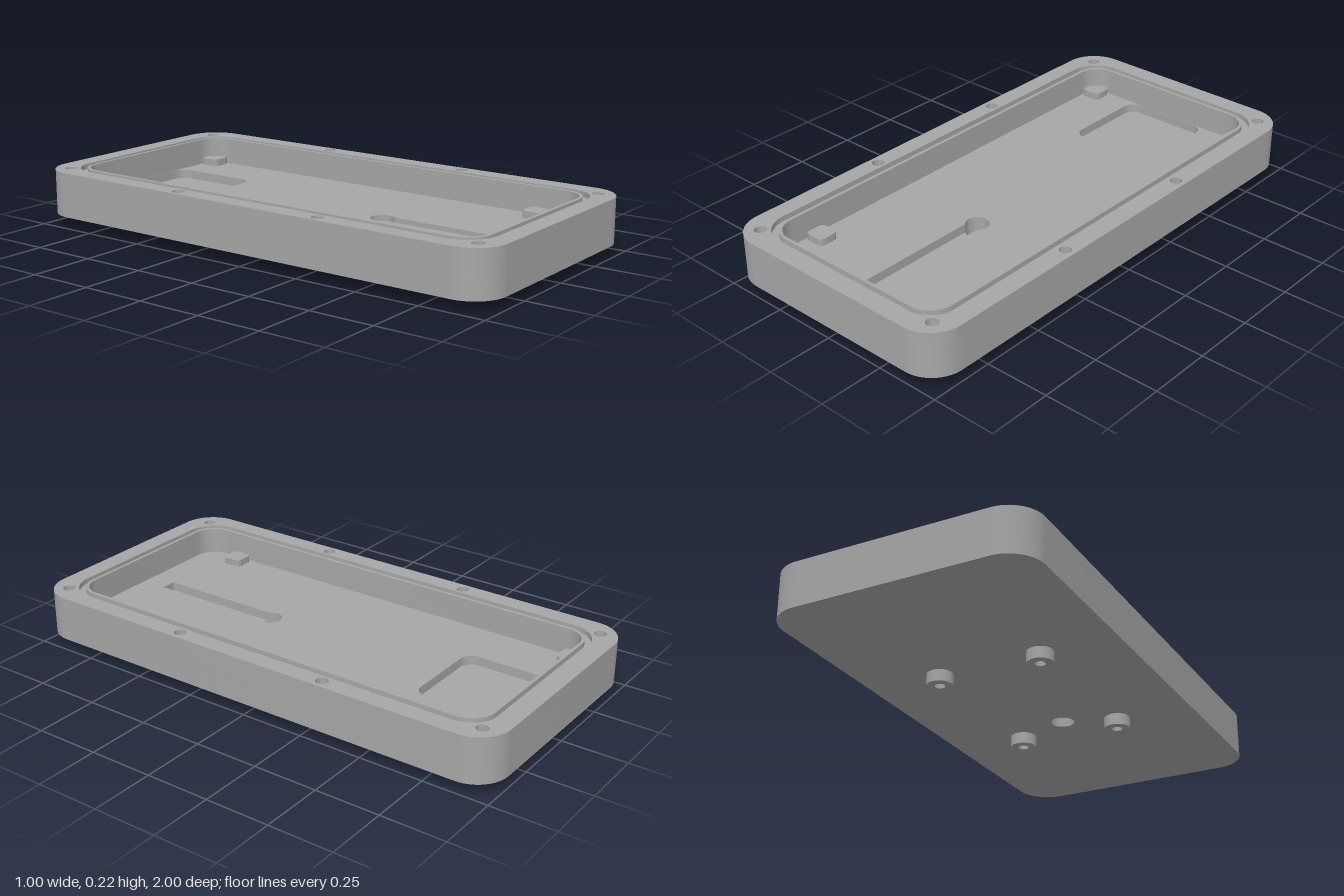
import * as THREE from 'three';
import { toCreasedNormals } from 'three/addons/utils/BufferGeometryUtils.js';

const grey = new THREE.MeshStandardMaterial({ color: 0xa6a6a6 });
grey.name = 'grey';

// Heights of the tray levels
const BASE = 0.045, POCKET = 0.08, FLOOR = 0.115, GROOVE = 0.2, TOP = 0.22;

// Rounded rectangle in plan; cz is the model's z
function roundRect(target, cx, cz, hw, hl, r) {
  const y = -cz, q = Math.PI / 2;
  target.absarc(cx + hw - r, y + hl - r, r, 0, q);
  target.absarc(cx - hw + r, y + hl - r, r, q, 2 * q);
  target.absarc(cx - hw + r, y - hl + r, r, 2 * q, 3 * q);
  target.absarc(cx + hw - r, y - hl + r, r, 3 * q, 4 * q);
  target.closePath();
  return target;
}

const circle = (target, x, z, r) => target.absarc(x, -z, r, 0, Math.PI * 2);

// Extrude a plan shape between two heights
function slab(name, shape, holes, y0, y1) {
  shape.holes.push(...holes);
  let geo = new THREE.ExtrudeGeometry(shape, { depth: y1 - y0, bevelEnabled: false, curveSegments: 20 });
  geo.rotateX(-Math.PI / 2);
  geo.translate(0, y0, 0);
  geo = toCreasedNormals(geo, 0.6);
  const mesh = new THREE.Mesh(geo, grey);
  mesh.name = name;
  return mesh;
}

const outline = () => roundRect(new THREE.Shape(), 0, 0, 0.5, 1, 0.13);
const cavity = () => roundRect(new THREE.Path(), 0, 0, 0.39, 0.892, 0.085);

// Round hole joined to a straight cable slot
function keyhole() {
  const p = new THREE.Path(), a = Math.asin(0.03 / 0.045);
  p.absarc(0, -0.265, 0.045, -Math.PI / 2 + a, Math.PI * 1.5 - a);
  p.lineTo(-0.03, -0.79);
  p.lineTo(0.03, -0.79);
  p.closePath();
  return p;
}

// Eight screw holes around the rim
function screwHoles() {
  const holes = [];
  for (const sx of [-1, 1])
    for (const [x, z] of [[0.42, -0.92], [0.462, -0.317], [0.462, 0.317], [0.42, 0.92]])
      holes.push(circle(new THREE.Path(), sx * x, z, 0.023));
  return holes;
}

export function createModel() {
  const model = new THREE.Group();
  model.name = 'enclosureTray';

  // Tray body, stacked from the bottom up
  model.add(
    slab('bottomPlate', outline(), [circle(new THREE.Path(), 0, 0.265, 0.045)], BASE, POCKET),
    slab('recessedFloor', outline(),
      [keyhole(), roundRect(new THREE.Path(), 0, -0.7, 0.183, 0.19, 0.05)], POCKET, FLOOR),
    slab('wall', outline(), [cavity(), ...screwHoles()], FLOOR, GROOVE),
    slab('rim', outline(),
      [roundRect(new THREE.Path(), 0, 0, 0.43, 0.927, 0.12), ...screwHoles()], GROOVE, TOP),
    slab('innerLip', roundRect(new THREE.Shape(), 0, 0, 0.403, 0.904, 0.098), [cavity()], GROOVE, TOP)
  );

  // Support pads on the floor and hollow feet underneath
  for (const sx of [-1, 1]) {
    for (const z of [-0.845, 0.71])
      model.add(slab('supportPad', roundRect(new THREE.Shape(), sx * 0.345, z, 0.04, 0.04, 0.016),
        [], FLOOR, FLOOR + 0.028));
    for (const z of [-0.327, 0.327])
      model.add(slab('foot', circle(new THREE.Shape(), sx * 0.204, z, 0.05),
        [circle(new THREE.Path(), sx * 0.204, z, 0.02)], 0, BASE));
  }
  return model;
}
